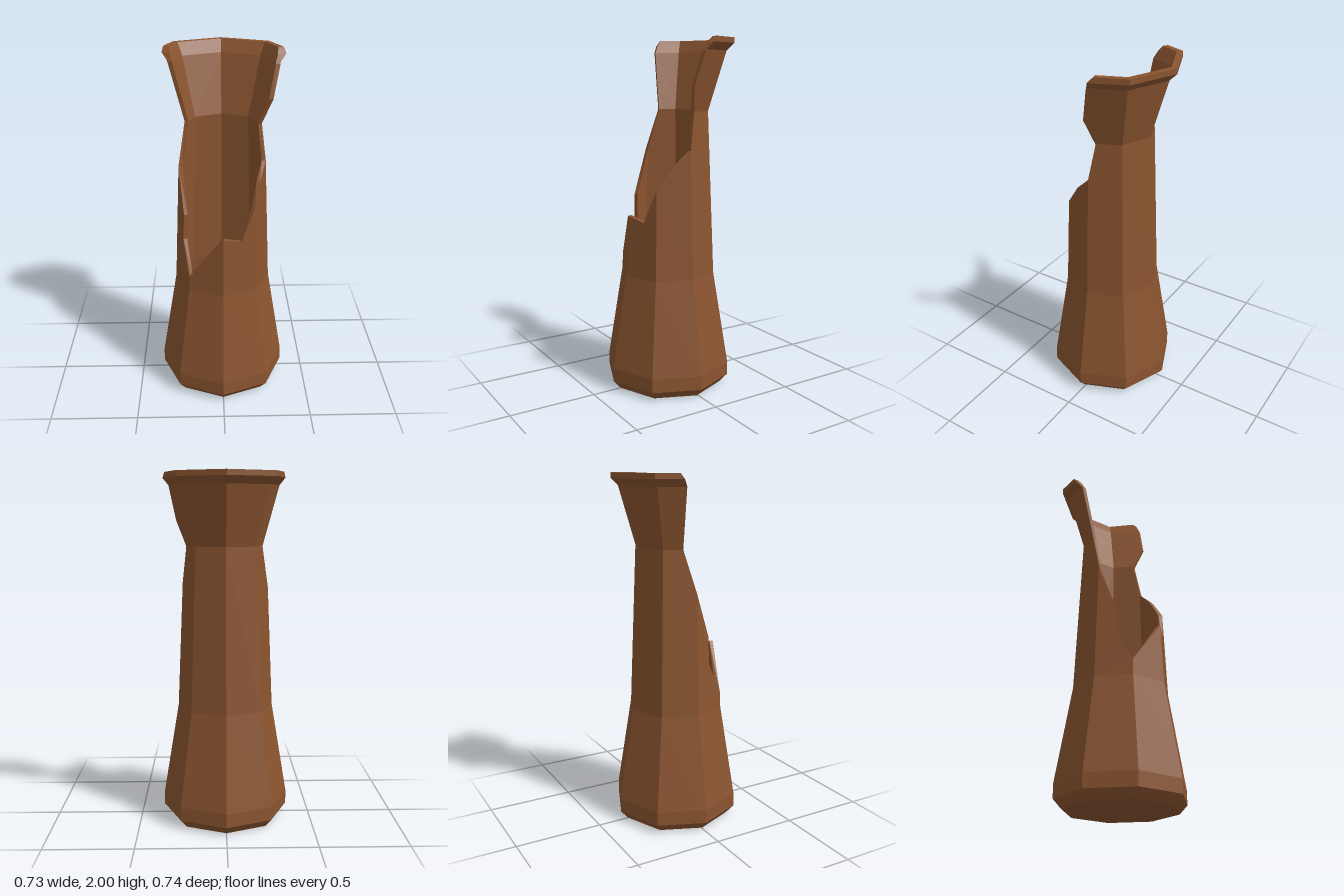
import * as THREE from 'three';

// Profiles as [height, corner radius] of the eight-sided vase
const OUTER = [[0, 0.32], [0.05, 0.365], [0.13, 0.365], [0.67, 0.275], [1.6, 0.235], [1.93, 0.335], [1.97, 0.377], [2, 0.377]];
const INNER = [[0.04, 0.3], [0.13, 0.335], [0.67, 0.25], [1.6, 0.212], [1.93, 0.307], [2, 0.342]];

// Unrolled wall outline: [side position (0 front, 2 left, -2 right, +-4 back), height]
const OUTLINE = [
  [-4, 0], [4, 0], [4, 2],
  [2.39, 2], [2.28, 1.97], [2.19, 1.92], [2, 1.74], [2.21, 1.59], [2, 1.39], [1.45, 1.3],
  [1, 1.18], [0.56, 0.99], [0, 1.02], [-1, 0.76], [-1.5, 0.95], [-1.48, 1.1], [-2, 1.36],
  [-2.4, 1.6], [-2.4, 1.93], [-2.47, 1.97], [-2.55, 2], [-4, 2],
];
const CENTRE_Z = 0.005;
const mix = THREE.MathUtils.lerp;

function radiusAt(profile, y) {
  for (let i = 1; i < profile.length; i++) {
    const [y0, r0] = profile[i - 1], [y1, r1] = profile[i];
    if (y <= y1) return mix(r0, r1, Math.max(0, (y - y0) / (y1 - y0)));
  }
  return profile[profile.length - 1][1];
}

// Wrap an unrolled point onto the octagonal surface
function wrap(profile, [t, y]) {
  const r = radiusAt(profile, y), i = Math.floor(t), f = t - i;
  const a = i * Math.PI / 4, b = a + Math.PI / 4;
  return [r * mix(Math.sin(a), Math.sin(b), f), y, r * mix(Math.cos(a), Math.cos(b), f) + CENTRE_Z];
}

// Keep the part of a polygon where sign * (point[axis] - limit) >= 0
function clip(poly, axis, limit, sign) {
  const out = [];
  poly.forEach((p, i) => {
    const q = poly[(i + 1) % poly.length];
    const dp = sign * (p[axis] - limit), dq = sign * (q[axis] - limit);
    if (dp >= 0) out.push(p);
    if (dp * dq < 0) out.push([0, 1].map((k) => mix(p[k], q[k], dp / (dp - dq))));
  });
  return out;
}

function toGeometry(positions) {
  const g = new THREE.BufferGeometry();
  g.setAttribute('position', new THREE.Float32BufferAttribute(positions, 3));
  g.computeVertexNormals();
  return g;
}

// One skin of the wall, cut panel by panel from the outline
function skin(profile, inward) {
  const pos = [];
  for (let side = -4; side < 4; side++) {
    for (let band = 1; band < profile.length; band++) {
      let cell = clip(clip(OUTLINE, 0, side, 1), 0, side + 1, -1);
      cell = clip(clip(cell, 1, profile[band - 1][0], 1), 1, profile[band][0], -1);
      if (cell.length < 3) continue;
      const pts = cell.map(([x, y]) => new THREE.Vector2(x, y));
      for (const tri of THREE.ShapeUtils.triangulateShape(pts, [])) {
        if (inward) tri.reverse();
        for (const k of tri) pos.push(...wrap(profile, [pts[k].x, pts[k].y]));
      }
    }
  }
  return toGeometry(pos);
}

// Edge thickness along the intact rim and the break
function edge() {
  const pos = [];
  for (let i = 2; i < OUTLINE.length - 1; i++) {
    const p = OUTLINE[i], q = OUTLINE[i + 1], cuts = [0, 1];
    const addCut = (axis, v) => {
      const f = (v - p[axis]) / (q[axis] - p[axis]);
      if (f > 0.001 && f < 0.999) cuts.push(f);
    };
    for (let t = -3; t < 4; t++) addCut(0, t);
    for (const [y] of OUTER) addCut(1, y);
    cuts.sort((a, b) => a - b);
    for (let k = 1; k < cuts.length; k++) {
      const at = (f) => [mix(p[0], q[0], f), mix(p[1], q[1], f)];
      const a = at(cuts[k - 1]), b = at(cuts[k]);
      const oa = wrap(OUTER, a), ob = wrap(OUTER, b), ia = wrap(INNER, a), ib = wrap(INNER, b);
      pos.push(...oa, ...ia, ...ob, ...ob, ...ia, ...ib);
    }
  }
  return toGeometry(pos);
}

// Octagonal disc with corners on the axes
function disc(radius, y, facing) {
  const g = new THREE.CircleGeometry(radius, 8);
  g.rotateX(-facing * Math.PI / 2);
  g.translate(0, y, CENTRE_Z);
  return g;
}

export function createModel() {
  const clay = new THREE.MeshStandardMaterial({ color: 0x8b5530, flatShading: true });
  clay.name = 'brown clay';
  const vase = new THREE.Group();
  vase.name = 'brokenVase';
  const add = (name, geometry) => {
    const mesh = new THREE.Mesh(geometry, clay);
    mesh.name = name;
    vase.add(mesh);
  };
  add('outerWall', skin(OUTER, false));
  add('innerWall', skin(INNER, true));
  add('rimAndBrokenEdge', edge());
  add('base', disc(OUTER[0][1], 0, -1));
  add('innerFloor', disc(INNER[0][1], INNER[0][0], 1));
  return vase;
}
